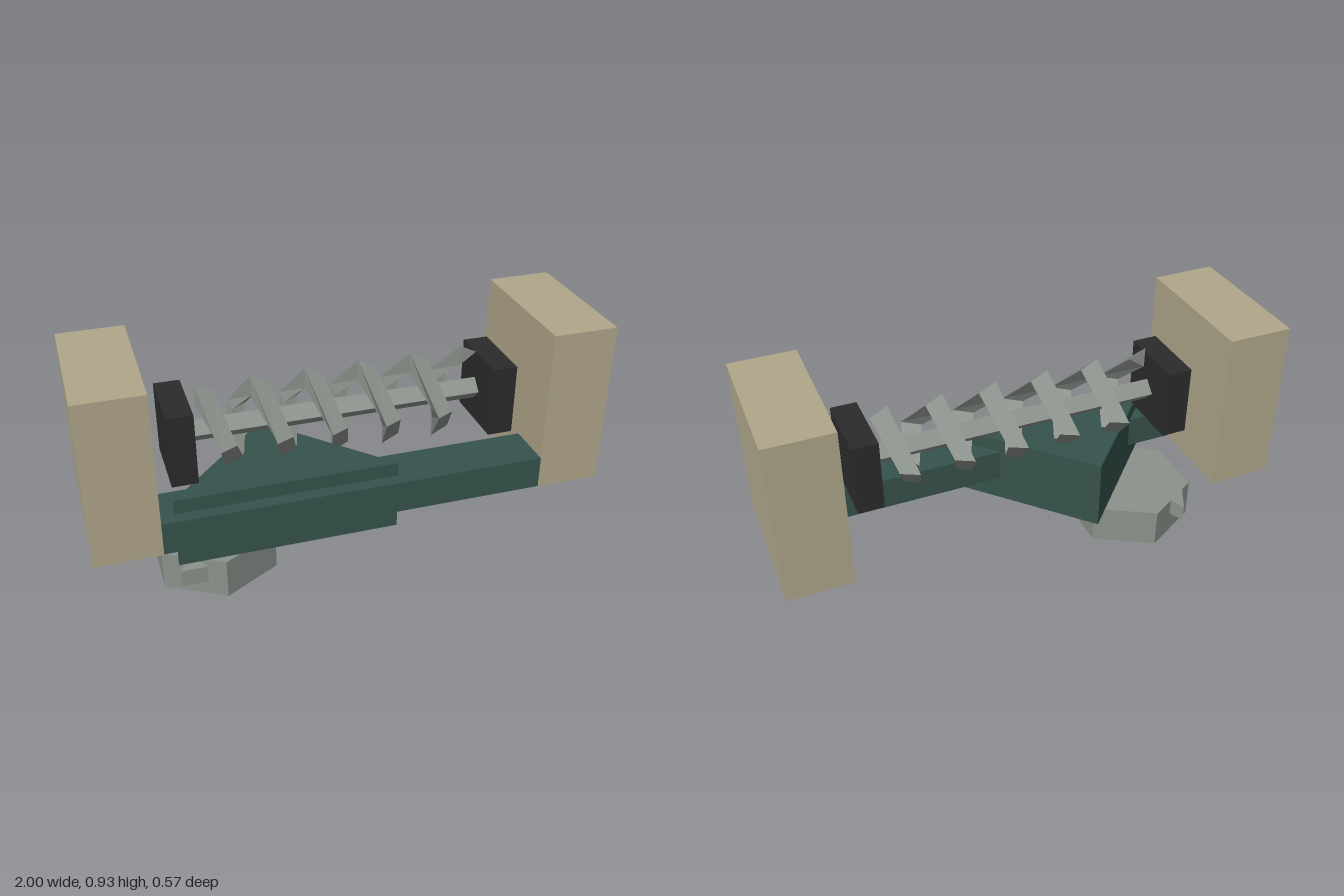
import * as THREE from 'three';

const material = (name, color, extra = {}) =>
  Object.assign(new THREE.MeshStandardMaterial({ color, flatShading: true, ...extra }), { name });

// Triangular prism, centred, with its point towards -z
function triPrism(width, height, depth) {
  const shape = new THREE.Shape([
    new THREE.Vector2(-width / 2, depth / 2),
    new THREE.Vector2(0, -depth / 2),
    new THREE.Vector2(width / 2, depth / 2),
  ]);
  return new THREE.ExtrudeGeometry(shape, { depth: height, bevelEnabled: false })
    .rotateX(Math.PI / 2)
    .translate(0, height / 2, 0);
}

// Screw thread: a triangular section swept around the x axis
function threadGeometry(startX, pitch, turns, sides) {
  const section = [[0, 0.192], [0.068, 0.157], [0, 0.108]]; // x offset, radius
  const steps = turns * sides;
  const point = (i, j) => {
    const a = (i / sides) * Math.PI * 2;
    const [dx, r] = section[j % 3];
    return [startX + (pitch * i) / sides + dx, r * Math.cos(a), r * Math.sin(a)];
  };
  const pos = [];
  for (let i = 0; i < steps; i++) {
    for (let j = 0; j < 3; j++) {
      const a = point(i, j), b = point(i + 1, j), c = point(i, j + 1), d = point(i + 1, j + 1);
      pos.push(...a, ...b, ...c, ...b, ...d, ...c);
    }
  }
  pos.push(...point(0, 0), ...point(0, 1), ...point(0, 2));
  pos.push(...point(steps, 0), ...point(steps, 2), ...point(steps, 1));
  const geometry = new THREE.BufferGeometry();
  geometry.setAttribute('position', new THREE.Float32BufferAttribute(pos, 3));
  geometry.computeVertexNormals();
  return geometry;
}

export function createModel() {
  const model = new THREE.Group();
  model.name = 'screwMechanism';

  const stone = material('stone', 0xb0a68a);
  const paint = material('greenPaint', 0x36524c);
  const steel = material('steel', 0x8c928c, { side: THREE.DoubleSide });
  const rubber = material('blackRubber', 0x2b2b2b);

  const add = (name, geometry, mat, x, y, z, parent = model) => {
    const mesh = new THREE.Mesh(geometry, mat);
    mesh.name = name;
    mesh.position.set(x, y, z);
    parent.add(mesh);
    return mesh;
  };

  // End blocks and bearings, mirrored
  for (const [side, s] of [['right', -1], ['left', 1]]) {
    add(side + 'Block', new THREE.BoxGeometry(0.255, 0.657, 0.57), stone, s * 0.8725, 0.5965, 0);
    add(side + 'Bearing', new THREE.BoxGeometry(0.1, 0.285, 0.285), rubber, s * 0.628, 0.598, 0);
  }

  // Rail and wedge-shaped bracket
  add('rail', new THREE.BoxGeometry(1.49, 0.13, 0.2), paint, 0, 0.333, 0.182);
  add('bracket', triPrism(0.86, 0.287, 0.46), paint, -0.26, 0.3105, 0);

  // Screw: square shaft standing on its edge, with the thread around it
  const screw = new THREE.Group();
  screw.name = 'screw';
  screw.position.y = 0.598;
  model.add(screw);
  add('shaft', new THREE.CylinderGeometry(0.046, 0.046, 1.14, 4).rotateZ(Math.PI / 2), steel, 0, 0, 0, screw);
  add('thread', threadGeometry(-0.55, 0.21, 5, 4), steel, 0, 0, 0, screw);

  // Hexagonal cap, open underneath, with three teeth
  const cap = new THREE.Group();
  cap.name = 'hexCap';
  cap.position.x = -0.517;
  model.add(cap);
  add('capWall', new THREE.CylinderGeometry(0.257, 0.257, 0.16, 6, 1, true), steel, 0, 0.08, 0, cap);
  add('capTop', new THREE.CircleGeometry(0.257, 6, Math.PI / 2).rotateX(-Math.PI / 2), steel, 0, 0.16, 0, cap);
  for (let i = 0; i < 3; i++) {
    const a = (i * Math.PI * 2) / 3;
    add('tooth', triPrism(0.1, 0.07, 0.1), steel, 0.243 * Math.cos(a), 0.125, 0.243 * Math.sin(a), cap);
  }

  return model;
}
